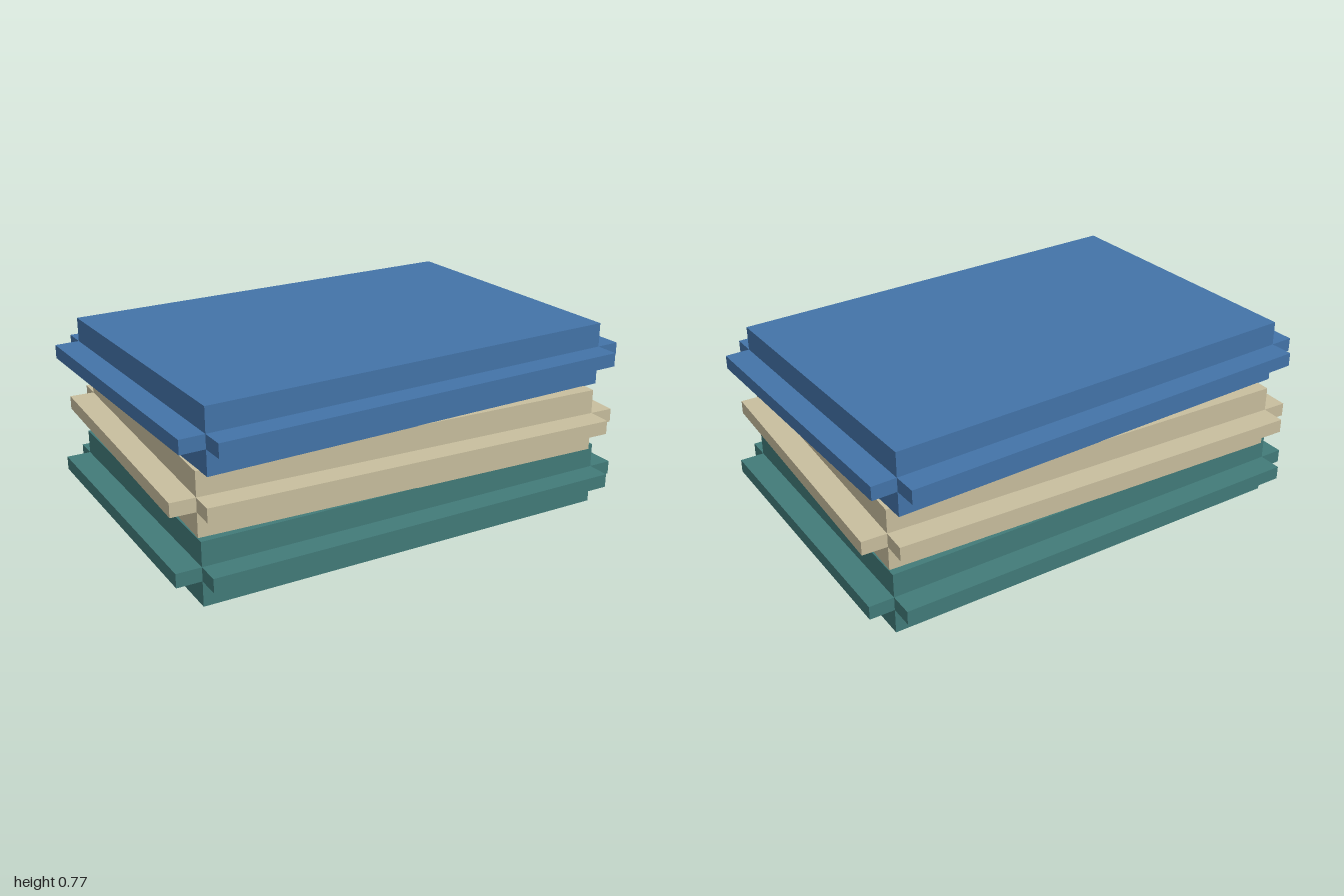
import * as THREE from 'three';

const paint = (name, color) => {
  const m = new THREE.MeshStandardMaterial({ color });
  m.name = name;
  return m;
};

// One closed crate: a slab body with a rail around each pair of sides
function makeCrate(name, material, halfX, halfZ, railX, railZ) {
  const crate = new THREE.Group();
  crate.name = name;
  const height = 0.257, railY = 0.13, railH = 0.056;
  const addBox = (part, w, h, d, x, y, z) => {
    const mesh = new THREE.Mesh(new THREE.BoxGeometry(w, h, d), material);
    mesh.name = part;
    mesh.position.set(x, y, z);
    crate.add(mesh);
  };
  addBox('body', halfX * 2, height, halfZ * 2, 0, height / 2, 0);
  // Rails stop at the body corners, leaving an open notch
  for (const s of [1, -1]) {
    addBox(s > 0 ? 'leftRail' : 'rightRail', railX - halfX, railH, halfZ * 2, s * (railX + halfX) / 2, railY, 0);
    addBox(s > 0 ? 'frontRail' : 'backRail', halfX * 2, railH, railZ - halfZ, 0, railY, s * (railZ + halfZ) / 2);
  }
  return crate;
}

export function createModel() {
  const model = new THREE.Group();
  model.name = 'crateStack';
  const step = 0.2555, twist = 0.035;

  // Three crates, the upper two twisted in opposite directions
  const crates = [
    [makeCrate('bottomCrate', paint('teal', 0x427b79), 0.88, 0.588, 0.98, 0.685), 0],
    [makeCrate('middleCrate', paint('sand', 0xc8be9e), 0.857, 0.587, 0.957, 0.686), -twist],
    [makeCrate('topCrate', paint('blue', 0x4373a8), 0.88, 0.588, 0.98, 0.685), twist],
  ];
  crates.forEach(([crate, angle], i) => {
    crate.position.y = i * step;
    crate.rotation.y = angle;
    model.add(crate);
  });
  return model;
}
